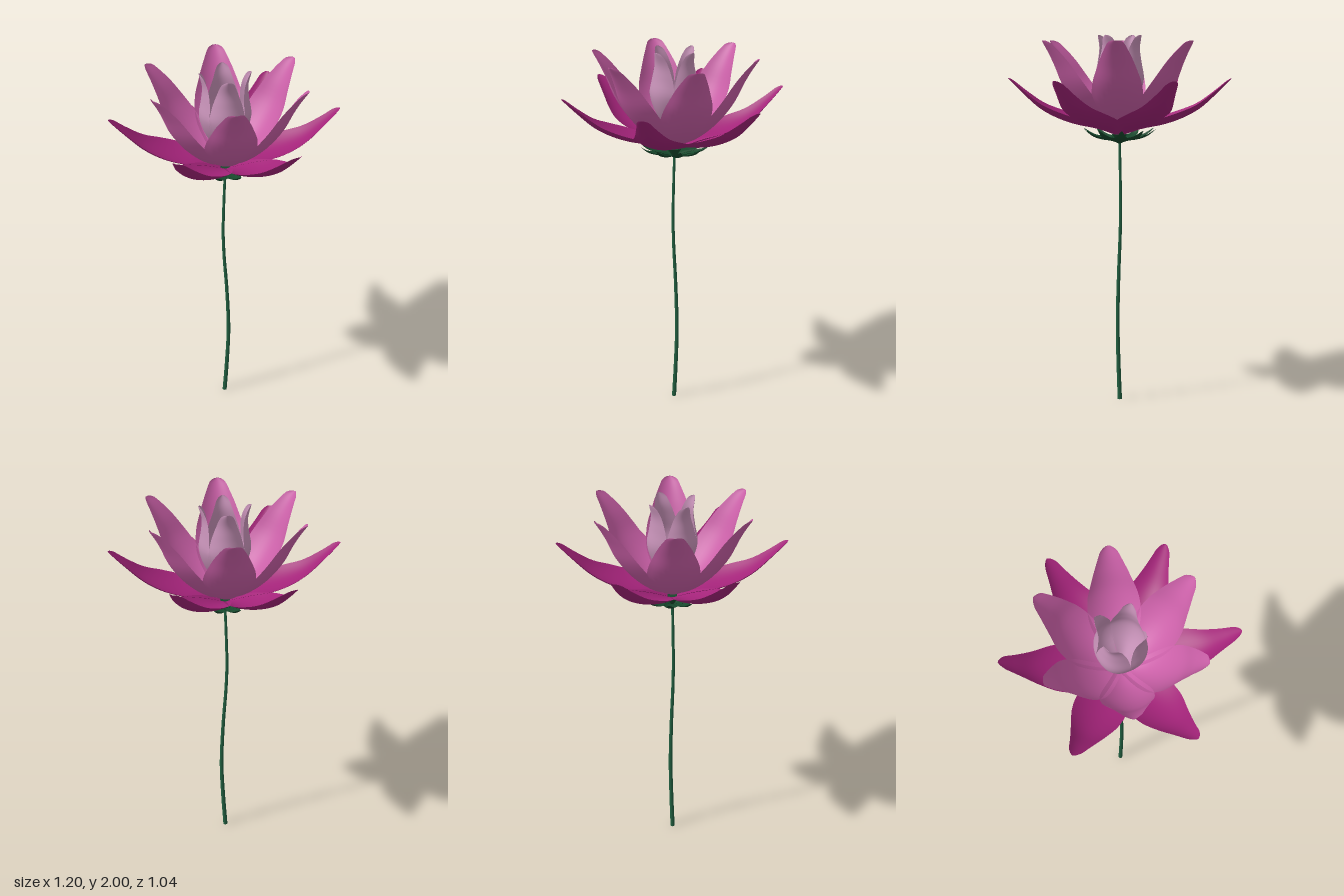
import * as THREE from 'three';

const mat = (name, color, side = THREE.DoubleSide) => {
  const m = new THREE.MeshStandardMaterial({ color, side });
  m.name = name;
  return m;
};

// Petal along +x. Each station is [radius, height, half width]; cup curls the sides inward.
function petalGeometry(stations, cup, tip = 0.07) {
  const spine = new THREE.CatmullRomCurve3(stations.map(s => new THREE.Vector3(...s)));
  const geo = new THREE.PlaneGeometry(2, 1, 12, 30);
  const pos = geo.attributes.position;
  for (let i = 0; i < pos.count; i++) {
    const v = pos.getX(i);
    const u = 1 - Math.pow(0.5 - pos.getY(i), 1.6);
    const p = spine.getPoint(u);
    const t = spine.getTangent(u);
    const len = Math.hypot(t.x, t.y);
    const e = Math.max(0, (u - 1 + tip) / tip);
    const w = Math.max(0, p.z) * Math.sqrt(Math.max(0, 1 - e * e));
    const rise = cup * w * v * v;
    pos.setXYZ(i, p.x - (t.y / len) * rise, p.y + (t.x / len) * rise, v * w);
  }
  geo.computeVertexNormals();
  return geo;
}

// Ring of equal petals around the stem axis
function ring(name, geo, material, count, start = 0) {
  const group = new THREE.Group();
  group.name = name + 's';
  for (let i = 0; i < count; i++) {
    const m = new THREE.Mesh(geo, material);
    m.name = name;
    m.rotation.y = start + (i / count) * Math.PI * 2;
    group.add(m);
  }
  return group;
}

export function createModel() {
  const model = new THREE.Group();
  model.name = 'flower';
  const magenta = mat('deep magenta', 0xa32379);
  const pink = mat('pink', 0xcb60a8);
  const pale = mat('pale pink', 0xc792b8);
  const green = mat('stem green', 0x215f40, THREE.FrontSide);
  const darkGreen = mat('sepal green', 0x17482c);

  // Wide outer petals
  model.add(ring('outerPetal', petalGeometry([
    [0, 1.46, 0.02], [0.12, 1.5, 0.09], [0.24, 1.525, 0.13], [0.34, 1.56, 0.125],
    [0.43, 1.61, 0.093], [0.52, 1.69, 0.055], [0.6, 1.77, 0.026]], 0.32), magenta, 6));

  // Rising middle petals
  model.add(ring('middlePetal', petalGeometry([
    [0, 1.48, 0.02], [0.12, 1.53, 0.085], [0.23, 1.62, 0.13], [0.315, 1.73, 0.127],
    [0.37, 1.84, 0.092], [0.41, 1.91, 0.062], [0.45, 1.97, 0.032]], 0.36), pink, 6, Math.PI / 6));

  // Closed inner bud
  model.add(ring('innerPetal', petalGeometry([
    [0, 1.49, 0.008], [0.05, 1.58, 0.035], [0.11, 1.68, 0.08], [0.135, 1.77, 0.094],
    [0.123, 1.86, 0.076], [0.118, 1.93, 0.05], [0.135, 2, 0.024]], 0.48), pale, 4));

  // Pointed sepals below the petals
  model.add(ring('sepal', petalGeometry([
    [0, 1.42, 0.01], [0.05, 1.437, 0.032], [0.1, 1.445, 0.038],
    [0.15, 1.462, 0.024], [0.2, 1.5, 0.003]], 0.3), darkGreen, 10));

  // Small cup joining stem and petals
  const cup = new THREE.Mesh(new THREE.CylinderGeometry(0.04, 0.008, 0.05, 16), darkGreen);
  cup.name = 'receptacle';
  cup.position.y = 1.445;
  model.add(cup);

  // Gently swaying, tapering stem
  const path = new THREE.CatmullRomCurve3([
    [-0.003, 0], [0.01, 0.2], [0.019, 0.43], [0.009, 0.7],
    [-0.006, 0.92], [-0.011, 1.07], [-0.007, 1.25], [0, 1.44]
  ].map(([x, y]) => new THREE.Vector3(x, y, 0)));
  const stemGeo = new THREE.CylinderGeometry(0.007, 0.012, 1, 12, 40);
  const pos = stemGeo.attributes.position;
  for (let i = 0; i < pos.count; i++) {
    const c = path.getPointAt(THREE.MathUtils.clamp(pos.getY(i) + 0.5, 0, 1));
    pos.setXYZ(i, pos.getX(i) + c.x, c.y, pos.getZ(i));
  }
  const stem = new THREE.Mesh(stemGeo, green);
  stem.name = 'stem';
  model.add(stem);

  return model;
}
